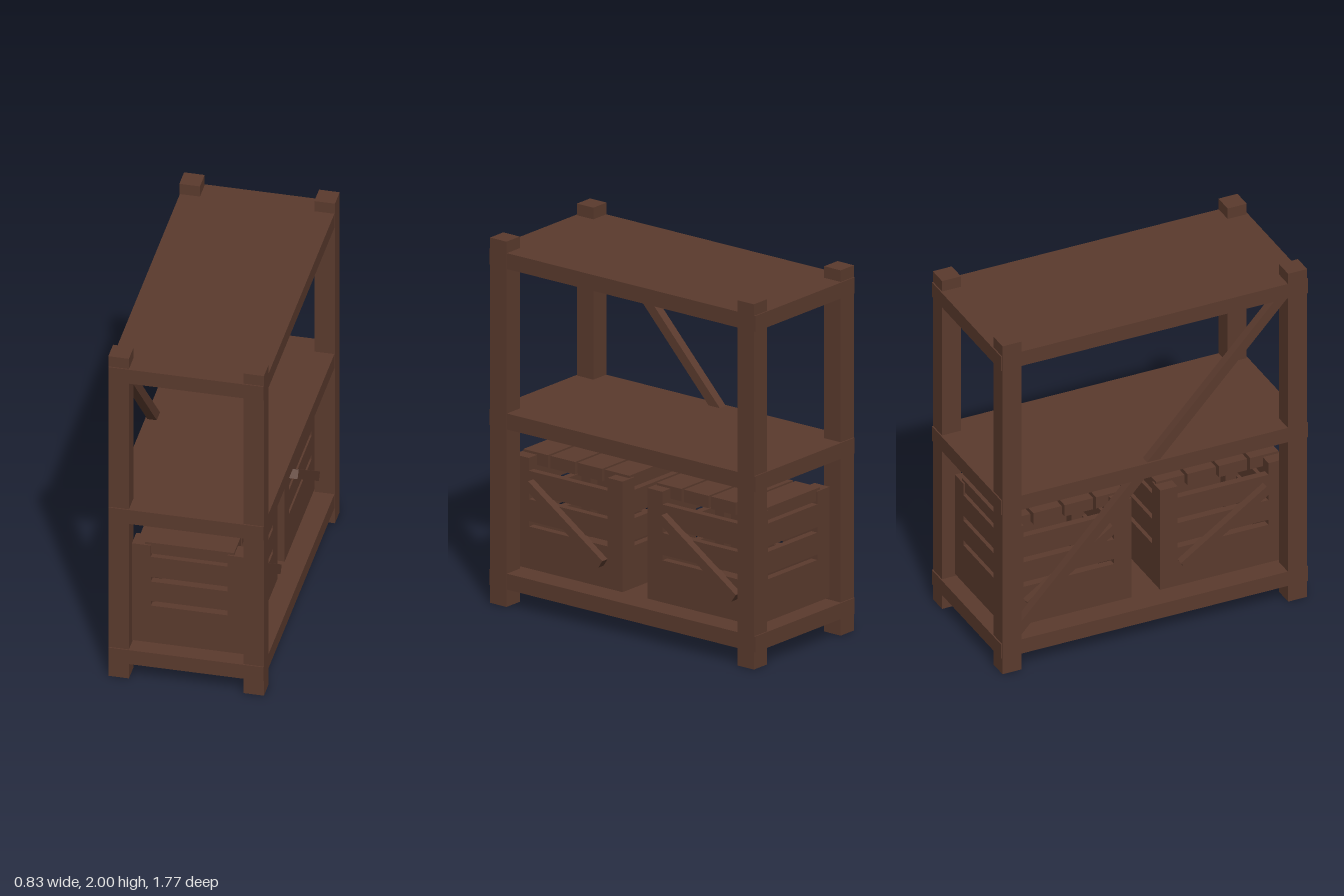
import * as THREE from 'three';

export function createModel() {
  const model = new THREE.Group();
  model.name = 'storageRack';
  const wood = new THREE.MeshStandardMaterial({ color: 0x5a3a2d });
  wood.name = 'dark brown wood';

  const add = (parent, name, geometry, x = 0, y = 0, z = 0) => {
    const mesh = new THREE.Mesh(geometry, wood);
    mesh.name = name;
    mesh.position.set(x, y, z);
    parent.add(mesh);
    return mesh;
  };
  const box = (parent, name, w, h, d, x, y, z) =>
    add(parent, name, new THREE.BoxGeometry(w, h, d), x, y, z);

  // Slanted bar running between two points [z, y] at a fixed x
  const brace = (parent, name, x, thickness, width, [z1, y1], [z2, y2]) => {
    const length = Math.hypot(z2 - z1, y2 - y1);
    const bar = box(parent, name, thickness, width, length, x, (y1 + y2) / 2, (z1 + z2) / 2);
    bar.rotation.x = -Math.atan2(y2 - y1, z2 - z1);
  };

  // Corner posts of the rack
  for (const x of [-0.36, 0.36])
    for (const z of [-0.825, 0.825]) box(model, 'rackPost', 0.11, 2, 0.11, x, 1, z);

  // Shelves, slightly proud of the posts at both ends
  for (const y of [0.138, 1.015, 1.893]) box(model, 'shelf', 0.824, 0.087, 1.774, 0, y, 0);

  // Long diagonal on one side of the rack
  brace(model, 'rackBrace', -0.375, 0.05, 0.055, [0.765, 1.875], [-0.79, 0.215]);

  // Crate wall: centred slats between corners, with two open slits
  const crateWall = (width) => {
    const half = width / 2 - 0.1;
    const shape = new THREE.Shape();
    shape.moveTo(-half, 0.195);
    shape.lineTo(half, 0.195);
    shape.lineTo(half, 0.73);
    shape.lineTo(-half, 0.73);
    shape.closePath();
    for (const [low, high] of [[0.425, 0.455], [0.575, 0.605]]) {
      const slit = new THREE.Path();
      slit.moveTo(-half + 0.001, low);
      slit.lineTo(-half + 0.001, high);
      slit.lineTo(half - 0.001, high);
      slit.lineTo(half - 0.001, low);
      slit.closePath();
      shape.holes.push(slit);
    }
    const geometry = new THREE.ExtrudeGeometry(shape, { depth: 0.04, bevelEnabled: false });
    geometry.translate(0, 0, -0.04);
    return geometry;
  };

  // Two crates on the bottom shelf
  const W = 0.61, L = 0.725;
  for (const z of [0.447, -0.443]) {
    const crate = new THREE.Group();
    crate.name = 'crate';
    crate.position.z = z;
    model.add(crate);

    box(crate, 'crateFloor', W - 0.02, 0.04, L - 0.02, 0, 0.216, 0);
    for (const s of [-1, 1]) {
      for (const t of [-1, 1])
        box(crate, 'cratePost', 0.1, 0.605, 0.1, s * (W / 2 - 0.05), 0.4975, t * (L / 2 - 0.05));
      const end = add(crate, 'crateEnd', crateWall(W), 0, 0, s * L / 2);
      end.rotation.y = s > 0 ? 0 : Math.PI;
      const side = add(crate, 'crateSide', crateWall(L), s * W / 2, 0, 0);
      side.rotation.y = s * Math.PI / 2;
      brace(crate, 'crateBrace', s * 0.325, 0.05, 0.05, [0.245, 0.67], [-0.25, 0.335]);
    }
    // Lid slats
    for (let i = 0; i < 4; i++)
      box(crate, 'lidSlat', 0.475, 0.068, 0.164, 0, 0.779, (i - 1.5) * 0.181);
  }
  return model;
}
